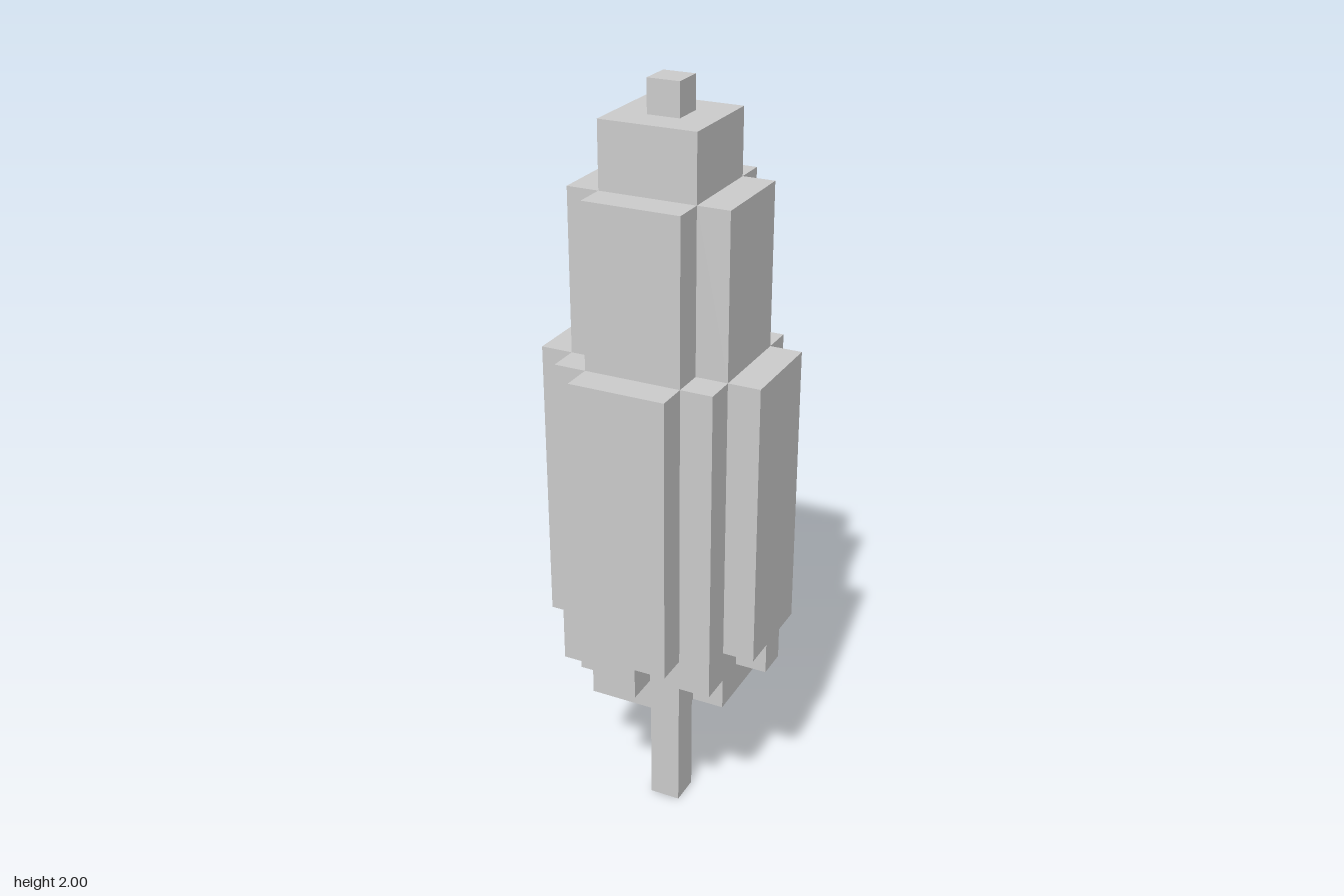
import * as THREE from 'three';

const U = 2 / 24; // one block

// Each tier: a square core with four equal arms; half sizes and heights in blocks
const TIERS = [
  { name: 'stem', from: 0, to: 5, core: 0.5 },
  { name: 'baseCross', from: 5, to: 6, core: 1.5, arm: 1.5, reach: 2.5 },
  { name: 'lowerTabs', from: 6, to: 7, core: 2.5, arm: 0.5, reach: 3.5 },
  { name: 'mainBody', from: 7, to: 16, core: 2.5, arm: 1.5, reach: 3.5 },
  { name: 'upperBody', from: 16, to: 21, core: 1.5, arm: 1.5, reach: 2.5 },
  { name: 'cap', from: 21, to: 23, core: 1.5 },
  { name: 'tip', from: 23, to: 24, core: 0.5 },
];

// Outline built from one quarter, turned four times
function crossOutline(core, arm, reach) {
  let quarter = [[reach, -arm], [reach, arm], [core, arm]];
  if (core > arm) quarter.push([core, core], [arm, core]);
  if (reach === core) quarter = [[core, core]];
  const points = [];
  for (let i = 0; i < 4; i++) {
    for (const [x, y] of quarter) points.push(new THREE.Vector2(x * U, y * U));
    quarter = quarter.map(([x, y]) => [-y, x]);
  }
  return new THREE.Shape(points);
}

export function createModel() {
  const model = new THREE.Group();
  model.name = 'blockSpindle';
  const material = new THREE.MeshStandardMaterial({ color: 0xcccccc, flatShading: true });

  for (const { name, from, to, core, arm = core, reach = core } of TIERS) {
    const geometry = new THREE.ExtrudeGeometry(crossOutline(core, arm, reach), {
      depth: (to - from) * U,
      bevelEnabled: false,
    });
    geometry.rotateX(-Math.PI / 2);
    const mesh = new THREE.Mesh(geometry, material);
    mesh.name = name;
    mesh.position.y = from * U;
    model.add(mesh);
  }
  return model;
}
